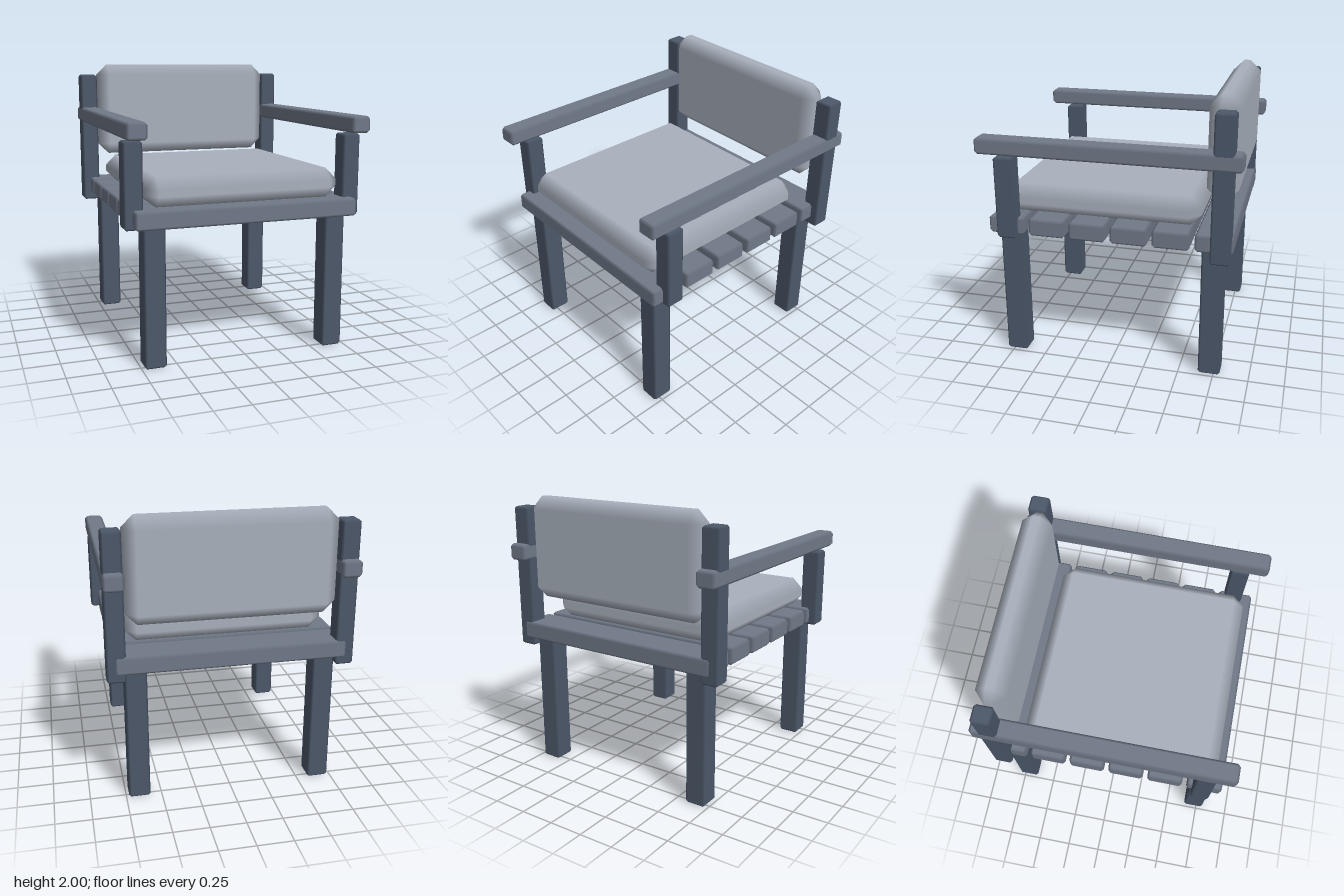
import * as THREE from 'three';
import { ConvexGeometry } from 'three/addons/geometries/ConvexGeometry.js';

const darkWood = new THREE.MeshStandardMaterial({ color: 0x4d586a });
const lightWood = new THREE.MeshStandardMaterial({ color: 0x717a89 });
const fabric = new THREE.MeshStandardMaterial({ color: 0xa9b1bd });

// Box with one chamfer on every edge; normals follow the flat faces so the chamfers shade softly.
function chamferedBox(w, h, d, c) {
  const half = [w / 2, h / 2, d / 2];
  const points = [];
  for (const sx of [-1, 1]) for (const sy of [-1, 1]) for (const sz of [-1, 1]) {
    for (let axis = 0; axis < 3; axis++) {
      const p = [sx, sy, sz].map((s, i) => s * (half[i] - (i === axis ? 0 : c)));
      points.push(new THREE.Vector3(...p));
    }
  }
  const geometry = new ConvexGeometry(points);
  const pos = geometry.attributes.position, normal = geometry.attributes.normal;
  for (let i = 0; i < pos.count; i++) {
    const n = [pos.getX(i), pos.getY(i), pos.getZ(i)]
      .map((v, k) => (Math.abs(v) > half[k] - c * 0.1 ? Math.sign(v) : 0));
    normal.setXYZ(i, ...n);
  }
  return geometry;
}

// Adds a chamfered box given by its extents on each axis.
function addBox(group, name, [x0, x1], [y0, y1], [z0, z1], chamfer, material) {
  const mesh = new THREE.Mesh(chamferedBox(x1 - x0, y1 - y0, z1 - z0, chamfer), material);
  mesh.position.set((x0 + x1) / 2, (y0 + y1) / 2, (z0 + z1) / 2);
  mesh.name = name;
  group.add(mesh);
}

export function createModel() {
  const chair = new THREE.Group();
  chair.name = 'armchair';

  // Legs, posts and armrests, mirrored left and right
  for (const side of [1, -1]) {
    const label = side > 0 ? 'Left' : 'Right';
    const span = (a, b) => (side > 0 ? [a, b] : [-b, -a]);
    addBox(chair, 'frontLeg' + label, span(0.58, 0.73), [0, 0.97], [0.645, 0.8], 0.015, darkWood);
    addBox(chair, 'backLeg' + label, span(0.58, 0.73), [0, 0.97], [-0.795, -0.64], 0.015, darkWood);
    addBox(chair, 'frontPost' + label, span(0.72, 0.85), [0.95, 1.53], [0.64, 0.775], 0.015, darkWood);
    addBox(chair, 'backPost' + label, span(0.72, 0.85), [0.905, 1.92], [-0.845, -0.71], 0.015, darkWood);
    addBox(chair, 'armrest' + label, span(0.715, 0.855), [1.545, 1.66], [-0.905, 0.905], 0.02, lightWood);
  }

  // Seat slats
  for (let i = 0; i < 6; i++) {
    const z = 0.727 - i * 0.291;
    addBox(chair, 'seatSlat', [-0.795, 0.795], [0.96, 1.085], [z - 0.128, z + 0.128], 0.018, lightWood);
  }

  // Cushions
  addBox(chair, 'seatCushion', [-0.7, 0.7], [1.08, 1.29], [-0.62, 0.79], 0.082, fabric);
  addBox(chair, 'backCushion', [-0.715, 0.715], [1.28, 2], [-0.86, -0.648], 0.082, fabric);

  return chair;
}
